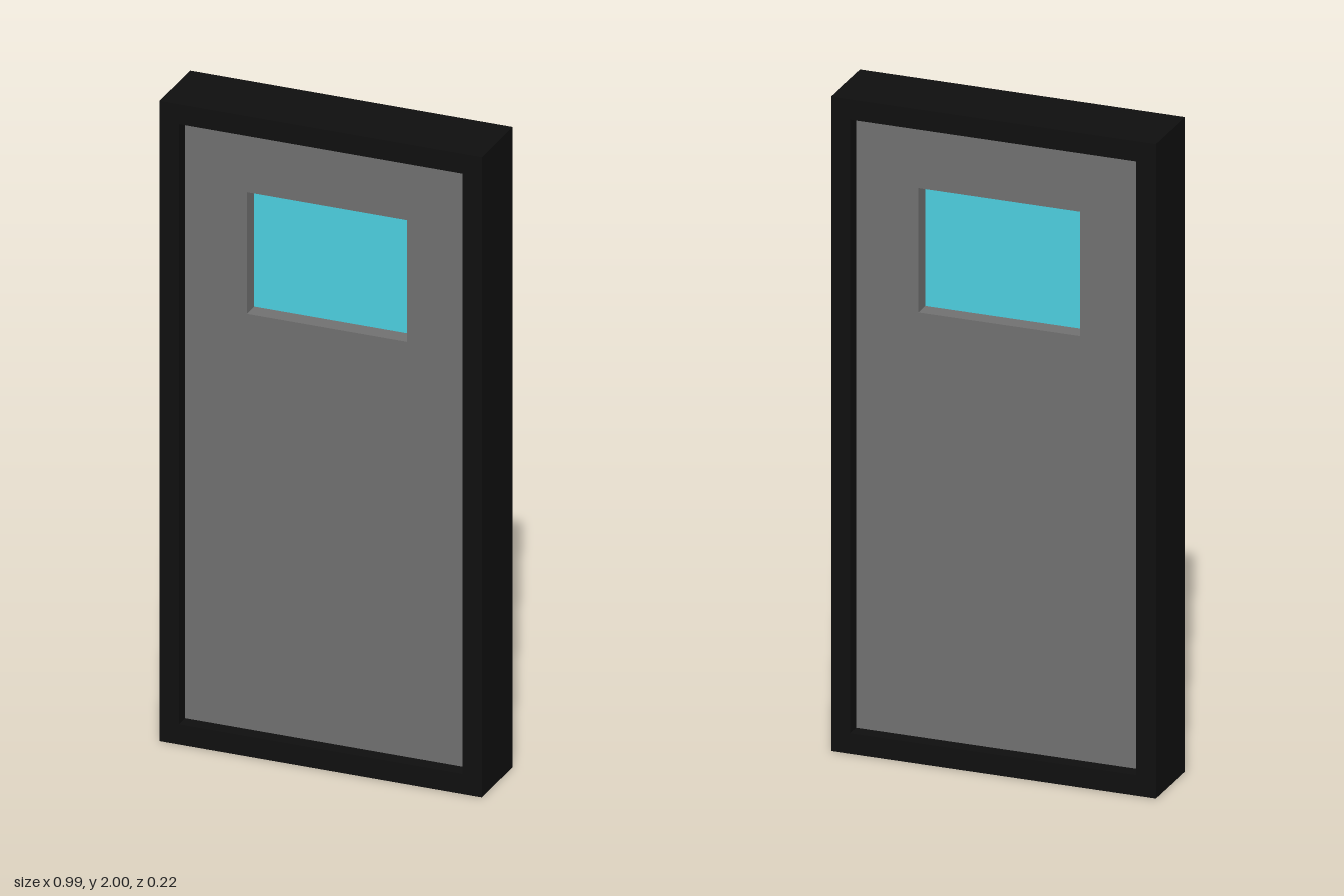
import * as THREE from 'three';

const material = (color) => new THREE.MeshStandardMaterial({ color, flatShading: true });

// Adds the corners of an axis-aligned rectangle to a path
function rectangle(path, halfWidth, bottom, top) {
  path.moveTo(-halfWidth, bottom);
  path.lineTo(halfWidth, bottom);
  path.lineTo(halfWidth, top);
  path.lineTo(-halfWidth, top);
  path.closePath();
  return path;
}

// Rectangular slab with a rectangular opening, centred on z = 0
function slabWithOpening(name, outer, opening, depth, color) {
  const shape = rectangle(new THREE.Shape(), ...outer);
  shape.holes.push(rectangle(new THREE.Path(), ...opening));
  const geometry = new THREE.ExtrudeGeometry(shape, { depth, bevelEnabled: false });
  geometry.translate(0, 0, -depth / 2);
  const mesh = new THREE.Mesh(geometry, material(color));
  mesh.name = name;
  return mesh;
}

export function createModel() {
  const door = new THREE.Group();
  door.name = 'door';

  // [half width, bottom, top]
  const outside = [0.497, 0, 2];
  const doorway = [0.437, 0.063, 1.938];
  const pane = [0.247, 1.36, 1.74];

  // Deep surround, and the leaf recessed equally on both faces
  door.add(slabWithOpening('frame', outside, doorway, 0.225, 0x0f0f0f));
  door.add(slabWithOpening('doorPanel', doorway, pane, 0.134, 0x717171));

  // Glass set in the middle of the leaf
  const [halfWidth, bottom, top] = pane;
  const glass = new THREE.Mesh(
    new THREE.BoxGeometry(halfWidth * 2, top - bottom, 0.026),
    material(0x4dd0e1)
  );
  glass.name = 'windowGlass';
  glass.position.y = (bottom + top) / 2;
  door.add(glass);

  return door;
}
